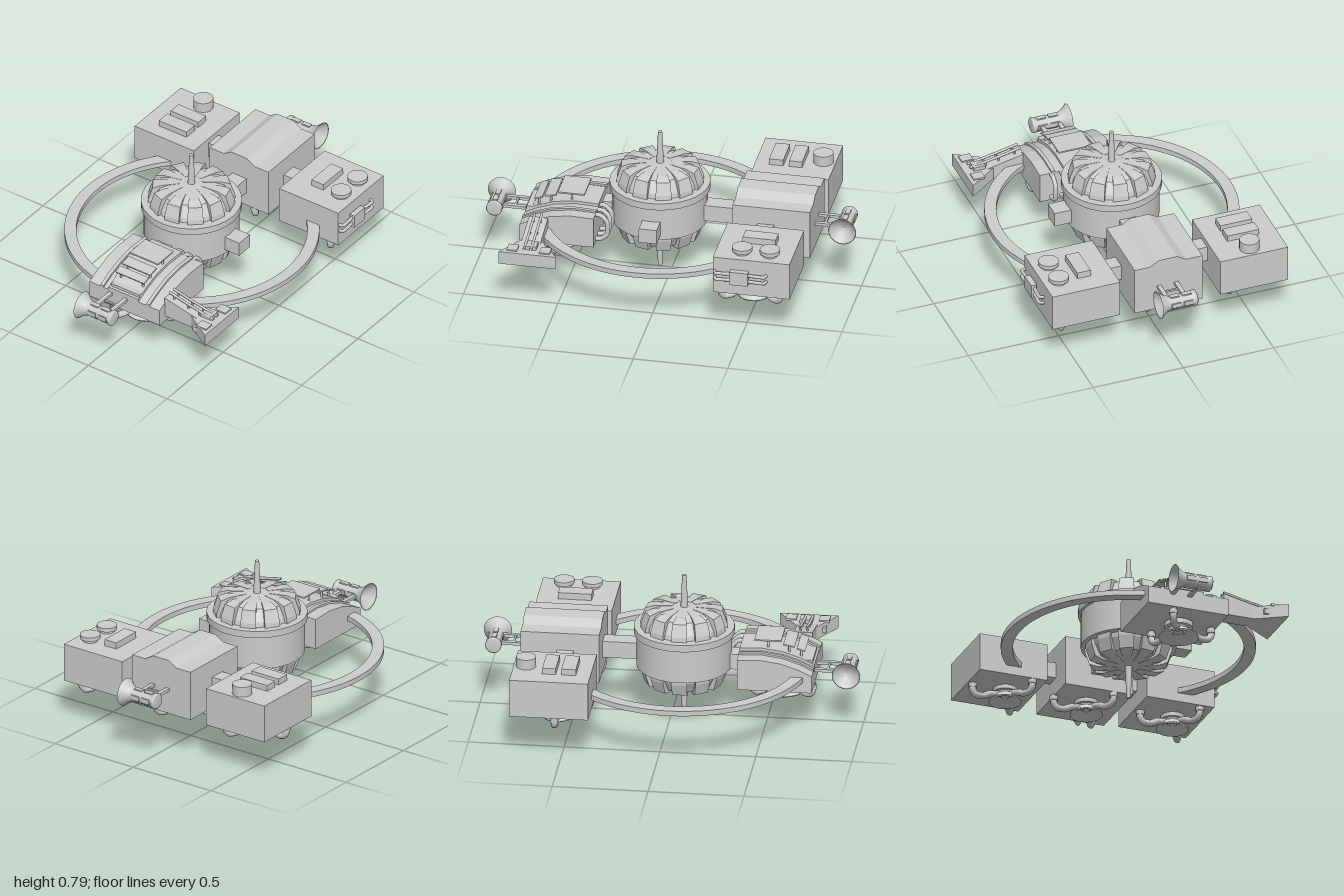
import * as THREE from 'three';

const mat = new THREE.MeshStandardMaterial({ color: 0xcccccc, side: THREE.DoubleSide });
const flat = new THREE.MeshStandardMaterial({ color: 0xcccccc, side: THREE.DoubleSide, flatShading: true });
const V = (x, y, z) => new THREE.Vector3(x, y, z);

export function createModel() {
  const root = new THREE.Group();

  const add = (name, geo, parent = root, m = mat) => {
    const mesh = new THREE.Mesh(geo, m);
    mesh.name = name;
    parent.add(mesh);
    return mesh;
  };
  const group = (name, x = 0, y = 0, z = 0) => {
    const g = new THREE.Group();
    g.name = name;
    g.position.set(x, y, z);
    root.add(g);
    return g;
  };
  // Box from its min and max on each axis
  const box = (name, x0, x1, y0, y1, z0, z1, parent) => {
    const b = add(name, new THREE.BoxGeometry(x1 - x0, y1 - y0, z1 - z0), parent);
    b.position.set((x0 + x1) / 2, (y0 + y1) / 2, (z0 + z1) / 2);
    return b;
  };
  // Upright cylinder or cone between two heights
  const cyl = (name, rTop, rBottom, x, y0, y1, z, parent) => {
    const c = add(name, new THREE.CylinderGeometry(rTop, rBottom, y1 - y0, 32), parent);
    c.position.set(x, (y0 + y1) / 2, z);
    return c;
  };
  const tube = (name, pts, r, parent) =>
    add(name, new THREE.TubeGeometry(new THREE.CatmullRomCurve3(pts, false, 'catmullrom', 0.4), 20, r, 10), parent);
  const extrude = (pts, depth) => new THREE.ExtrudeGeometry(
    new THREE.Shape(pts.map(p => new THREE.Vector2(...p))), { depth, bevelEnabled: false });
  // Profile of [z, y] points pushed along x
  const alongX = (name, pts, x0, x1, parent) => {
    const m = add(name, extrude(pts.map(([z, y]) => [-z, y]), x1 - x0), parent);
    m.rotation.y = Math.PI / 2;
    m.position.x = x0;
    return m;
  };

  // Central core: drum, rim, two ribbed domes and spires
  const core = group('core', -0.01, 0.395, 0.066);
  cyl('drum', 0.248, 0.248, 0, -0.11, 0.075, 0, core);
  cyl('rim', 0.262, 0.262, 0, 0.072, 0.11, 0, core);
  const ribProfile = [[0.06, 0.1], [0.225, 0.1], [0.222, 0.135], [0.2, 0.2], [0.155, 0.213], [0.06, 0.216]];
  for (const s of [1, -1]) {
    const half = new THREE.Group();
    half.name = s > 0 ? 'upperDome' : 'lowerDome';
    half.rotation.x = s > 0 ? 0 : Math.PI;
    core.add(half);
    const domePts = [[0, 0.1], [0.212, 0.1], [0.205, 0.135], [0.17, 0.195], [0.12, 0.212], [0, 0.217]];
    add('domeShell', new THREE.LatheGeometry(domePts.map(p => new THREE.Vector2(...p)), 33), half, flat);
    for (let i = 0; i < 11; i++) {
      const geo = extrude(ribProfile, 0.084).translate(0, 0, -0.042);
      const p = geo.attributes.position;
      // Narrow each rib towards the axis
      for (let k = 0; k < p.count; k++) p.setZ(k, p.getZ(k) * p.getX(k) / 0.225);
      geo.computeVertexNormals();
      add('domeRib', geo, half).rotation.y = (i + 0.5) / 11 * Math.PI * 2;
    }
    cyl('spire', 0.011, 0.02, 0, 0.2, 0.395, 0, half);
  }
  box('coreSideBox', 0.22, 0.325, 0.31, 0.39, 0.015, 0.11);

  // Flat ring, with its ends buried in the two rear side pods
  const ringShape = new THREE.Shape();
  const gap = 0.55, a0 = Math.PI / 2 + gap, a1 = Math.PI / 2 - gap + Math.PI * 2;
  ringShape.absarc(0, 0, 0.66, a0, a1, false);
  ringShape.absarc(0, 0, 0.598, a1, a0, true);
  const ring = add('ring', new THREE.ExtrudeGeometry(ringShape, { depth: 0.028, bevelEnabled: false, curveSegments: 64 }));
  ring.rotation.x = -Math.PI / 2;
  ring.position.set(-0.01, 0.284, 0.062);

  // Spokes and links between pods
  box('rearSpoke', -0.05, 0.04, 0.315, 0.405, -0.36, -0.15);
  box('frontSpoke', -0.05, 0.04, 0.285, 0.37, 0.28, 0.37);
  box('rightLink', -0.3, -0.19, 0.325, 0.41, -0.575, -0.488);
  box('leftLink', 0.17, 0.26, 0.325, 0.41, -0.575, -0.488);

  // Nozzle with three bent feed pipes; top is the underside of a pod
  const thruster = (x, z, top, size, turn) => {
    const g = group('thruster', x, top, z);
    cyl('collar', 0.062 * size, 0.062 * size, 0, -0.022, 0.005, 0, g);
    cyl('neck', 0.045 * size, 0.045 * size, 0, -0.04, -0.02, 0, g);
    const bell = [[0.03, -0.035], [0.052, -0.035], [0.06, -0.052], [0.085, -0.067], [0.085, -0.075], [0.072, -0.073], [0.02, -0.045]];
    add('bell', new THREE.LatheGeometry(bell.map(([r, y]) => new THREE.Vector2(r * size, y)), 32), g);
    for (let i = 0; i < 3; i++) {
      const arm = new THREE.Group();
      arm.name = 'feedPipe';
      arm.rotation.y = turn + i * Math.PI * 2 / 3;
      g.add(arm);
      tube('pipe', [V(0.18, 0.01, 0), V(0.18, -0.035, 0), V(0.16, -0.058, 0), V(0.12, -0.058, 0), V(0.085, -0.042, 0), V(0.03, -0.036, 0)], 0.018, arm);
      cyl('pipeCollar', 0.022, 0.022, 0.18, -0.022, 0.002, 0, arm);
    }
  };

  // Rear right pod
  const rightPod = group('rearRightPod');
  box('hull', -0.67, -0.295, 0.235, 0.44, -0.765, -0.355, rightPod);
  cyl('roofDrum', 0.052, 0.052, -0.48, 0.43, 0.495, -0.7, rightPod);
  box('roofBlock', -0.57, -0.395, 0.43, 0.473, -0.605, -0.535, rightPod);
  box('roofBlock', -0.57, -0.395, 0.43, 0.473, -0.505, -0.43, rightPod);
  thruster(-0.46, -0.535, 0.235, 1, Math.PI);

  // Rear left pod
  const leftPod = group('rearLeftPod');
  box('hull', 0.255, 0.63, 0.235, 0.44, -0.75, -0.345, leftPod);
  box('roofBlock', 0.375, 0.45, 0.43, 0.475, -0.64, -0.465, leftPod);
  for (const z of [-0.63, -0.483]) {
    cyl('hatchStem', 0.04, 0.04, 0.55, 0.43, 0.455, z, leftPod);
    cyl('hatchLid', 0.053, 0.053, 0.55, 0.455, 0.476, z, leftPod);
  }
  box('sideUnit', 0.635, 0.665, 0.305, 0.38, -0.535, -0.44, leftPod);
  for (const y of [0.325, 0.36])
    tube('sidePipe', [V(0.62, y, -0.625), V(0.65, y, -0.62), V(0.65, y, -0.57), V(0.643, y, -0.49), V(0.65, y, -0.4), V(0.65, y, -0.36), V(0.62, y, -0.355)], 0.009, leftPod);
  thruster(0.47, -0.53, 0.235, 1, Math.PI);

  // Rear middle pod with a stepped, sloped roof
  const roof = [[-0.195, 0.235], [0.18, 0.235], [0.18, 0.505], [0.095, 0.505], [0.045, 0.535], [-0.055, 0.535], [-0.105, 0.505], [-0.195, 0.505]];
  add('rearMiddlePod', extrude(roof, 0.41)).position.z = -0.765;
  thruster(-0.01, -0.53, 0.235, 1, Math.PI);

  // Front pod: arched deck, raised centre, edge strips
  const front = group('frontPod');
  const deck = lift => [[0.36, 0.225], [0.75, 0.225], [0.75, 0.318 + lift], [0.68, 0.352 + lift], [0.59, 0.382 + lift], [0.48, 0.397 + lift], [0.36, 0.392 + lift]];
  alongX('hull', deck(0), -0.17, 0.275, front);
  alongX('raisedDeck', deck(0.016), -0.05, 0.14, front);
  alongX('deckStrip', deck(0.01), -0.1, -0.08, front);
  alongX('deckStrip', deck(0.01), 0.19, 0.21, front);
  // Deck plates on short posts: z start, z end, height, tilt
  for (const [z0, z1, y, tilt] of [[0.435, 0.575, 0.448, 0], [0.585, 0.645, 0.425, 0.18], [0.655, 0.7, 0.405, 0.3]]) {
    box('deckPlate', -0.04, 0.14, y, y + 0.008, z0, z1, front).rotation.x = tilt;
    for (const x of [-0.02, 0.12]) cyl('platePost', 0.006, 0.006, x, y - 0.06, y, (z0 + z1) / 2, front);
  }
  box('foredeckBlock', -0.04, 0.14, 0.32, 0.355, 0.71, 0.74, front);
  for (const x of [0.1, 0.155, 0.21])
    tube('loopPipe', [V(x, 0.382, 0.37), V(x, 0.382, 0.335), V(x, 0.35, 0.303), V(x, 0.31, 0.297), V(x, 0.27, 0.303), V(x, 0.245, 0.335), V(x, 0.245, 0.37)], 0.012, front);
  thruster(0.065, 0.58, 0.21, 1.22, 0);

  // Flared wing beside the front pod
  const wing = group('sideWing');
  const outline = [[0.27, 0.6], [0.44, 0.6], [0.595, 0.49], [0.595, 0.795], [0.44, 0.7], [0.27, 0.7]];
  const slab = add('wingSlab', extrude(outline.map(([x, z]) => [x, -z]), 0.07), wing);
  slab.rotation.x = -Math.PI / 2;
  slab.position.y = 0.255;
  add('wingRamp', extrude([[0.27, 0.32], [0.5, 0.32], [0.27, 0.37]], 0.1), wing).position.z = 0.6;
  for (const z of [0.632, 0.668]) {
    tube('wingRail', [V(0.28, 0.392, z), V(0.4, 0.365, z), V(0.56, 0.335, z)], 0.007, wing);
    for (const [x, y] of [[0.31, 0.385], [0.4, 0.365], [0.47, 0.352]]) cyl('railPost', 0.005, 0.005, x, 0.31, y, z, wing);
  }
  box('wingBlock', 0.48, 0.545, 0.32, 0.345, 0.607, 0.672, wing);
  box('wingPad', 0.512, 0.575, 0.32, 0.332, 0.53, 0.585, wing);
  box('wingPad', 0.512, 0.575, 0.32, 0.332, 0.703, 0.757, wing);
  box('wingHatch', 0.48, 0.525, 0.275, 0.305, 0.7, 0.745, wing);

  // Horn on twin arms; dir is the end of the pod (+1 front, -1 rear)
  const horn = (y, z, dir, xMid) => {
    const g = group(dir > 0 ? 'frontHorn' : 'rearHorn', xMid, y, z);
    g.rotation.y = dir > 0 ? 0 : Math.PI;
    const pts = [[0, 0.105], [0.036, 0.105], [0.042, 0.1], [0.042, 0.085], [0.036, 0.08], [0.036, -0.04], [0.043, -0.062], [0.058, -0.085], [0.074, -0.103], [0.068, -0.1], [0.03, -0.06], [0, -0.055]];
    const body = add('hornBody', new THREE.LatheGeometry(pts.map(p => new THREE.Vector2(...p)), 28), g);
    body.rotation.z = -Math.PI / 2;
    for (const x of [-0.015, 0.05]) {
      box('hornPanel', x - 0.025, x + 0.025, -0.013, 0.013, -0.04, 0.04, g);
      box('hornPanel', x - 0.025, x + 0.025, -0.04, 0.04, -0.013, 0.013, g);
    }
    for (const x of [-0.04, 0.055]) box('hornArm', x - 0.011, x + 0.011, -0.008, 0.008, -0.18, -0.02, g);
    box('armBrace', -0.04, 0.055, -0.005, 0.005, -0.107, -0.097, g);
  };
  horn(0.3, 0.92, 1, 0.005);
  horn(0.37, -0.92, -1, 0.005);

  return root;
}
